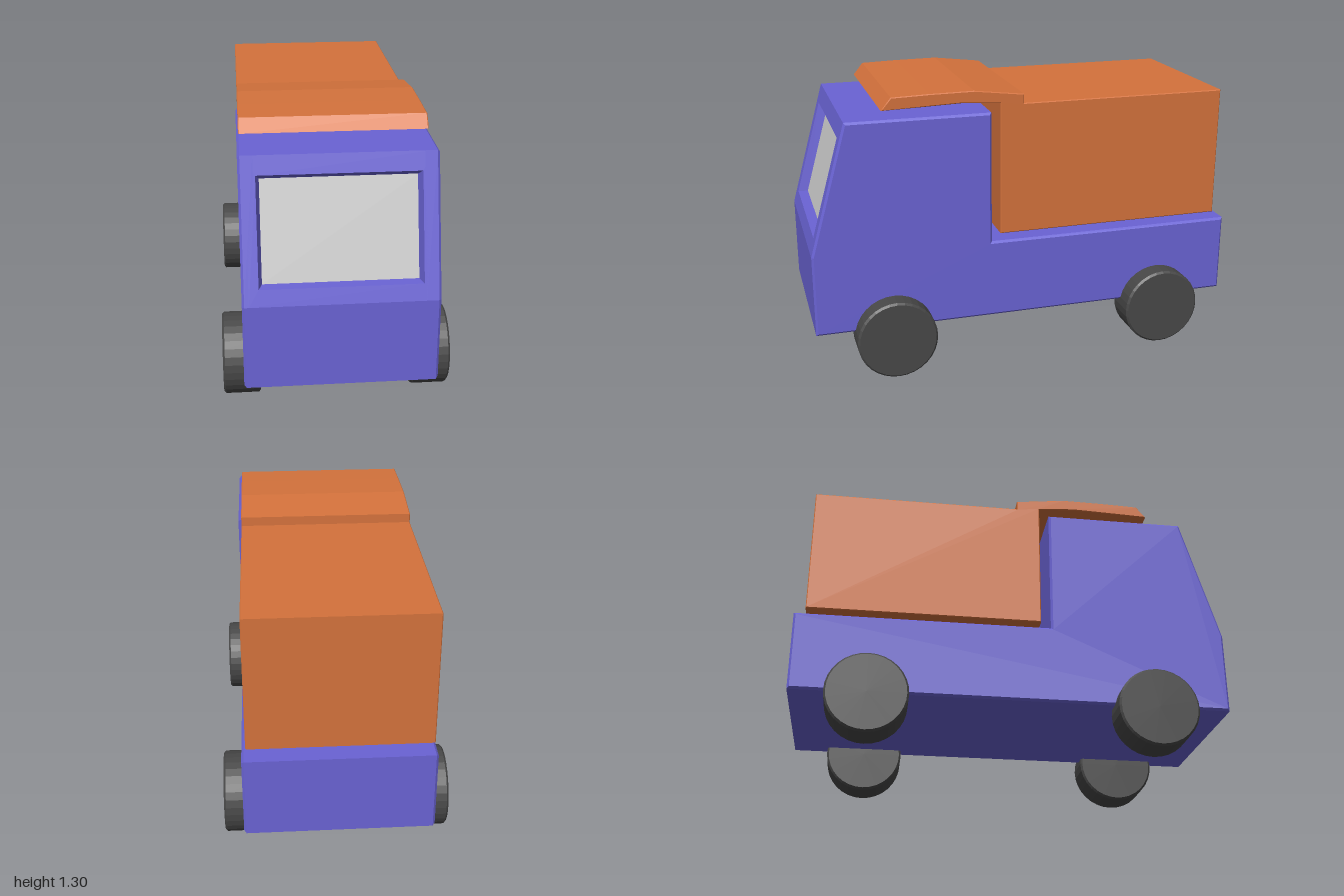
import * as THREE from 'three';

const paint = (color, extra = {}) => new THREE.MeshStandardMaterial({ color, flatShading: true, ...extra });

// Side profile of [z, y] points, extruded across x between x0 and x1
function extrudeAcross(profile, x0, x1, bevel = 0) {
  const shape = new THREE.Shape(profile.map(([z, y]) => new THREE.Vector2(z, y)));
  const geo = new THREE.ExtrudeGeometry(shape, {
    depth: x1 - x0 - 2 * bevel,
    bevelEnabled: bevel > 0,
    bevelSize: bevel,
    bevelThickness: bevel,
    bevelOffset: -bevel,
    bevelSegments: 1,
  });
  geo.rotateY(-Math.PI / 2);
  geo.translate(x1 - bevel, 0, 0);
  return geo;
}

const rect = (path, x, y0, y1) => path.moveTo(-x, y0).lineTo(x, y0).lineTo(x, y1).lineTo(-x, y1).closePath();

export function createModel() {
  const model = new THREE.Group();
  model.name = 'truck';
  const blue = paint(0x6a63d4);
  const orange = paint(0xd4723c);
  const dark = paint(0x484848);
  const grey = paint(0xcccccc);

  const add = (parent, name, geo, mat) => {
    const mesh = new THREE.Mesh(geo, mat);
    mesh.name = name;
    parent.add(mesh);
    return mesh;
  };

  // Windscreen slope, from its base at (z 1, y 0.6) to the roof edge
  const rise = 0.6, run = 0.17, depth = 0.045;
  const tilt = Math.atan2(run, rise);
  const slope = Math.hypot(rise, run);
  const dz = depth * Math.cos(tilt), dy = depth * Math.sin(tilt);
  const base = [1, 0.6], roof = [1 - run, 0.6 + rise];
  const rear = [[0.175, 1.2], [0.175, 0.59], [-1, 0.59], [-1, 0.22]];

  // Body: two bevelled sides and a core set back behind the windscreen frame
  const body = new THREE.Group();
  body.name = 'body';
  model.add(body);
  const outline = [[1, 0.22], base, roof, ...rear];
  add(body, 'leftSide', extrudeAcross(outline, 0.342, 0.414, 0.01), blue);
  add(body, 'rightSide', extrudeAcross(outline, -0.414, -0.342, 0.01), blue);
  const core = [[1, 0.22], base, [1 - dz, 0.6 - dy], [roof[0] - dz, roof[1] - dy], roof, ...rear];
  add(body, 'core', extrudeAcross(core, -0.385, 0.385), blue);

  // Windscreen: frame with an opening, tapered reveal and recessed pane
  const windscreen = new THREE.Group();
  windscreen.name = 'windscreen';
  windscreen.position.set(0, 0.6, 1);
  windscreen.rotation.x = -tilt;
  model.add(windscreen);
  const x = 0.343, low = 0.073, high = 0.541, taper = 0.015;
  const frame = rect(new THREE.Shape(), 0.385, 0, slope);
  frame.holes.push(rect(new THREE.Path(), x, low, high));
  const frameGeo = new THREE.ExtrudeGeometry(frame, { depth, bevelEnabled: false });
  frameGeo.translate(0, 0, -depth);
  add(windscreen, 'frame', frameGeo, blue);

  const corners = [];
  for (const [inset, z] of [[0, 0], [taper, -depth + 0.001]]) {
    const a = x - inset, b = low + inset, c = high - inset;
    corners.push(-a, b, z, a, b, z, a, c, z, -a, c, z);
  }
  const faces = [];
  for (let i = 0; i < 4; i++) {
    const j = (i + 1) % 4;
    faces.push(i, j, j + 4, i, j + 4, i + 4);
  }
  const reveal = new THREE.BufferGeometry();
  reveal.setAttribute('position', new THREE.Float32BufferAttribute(corners, 3));
  reveal.setIndex(faces);
  const revealGeo = reveal.toNonIndexed();
  revealGeo.computeVertexNormals();
  add(windscreen, 'reveal', revealGeo, paint(0x6a63d4, { side: THREE.DoubleSide }));

  const pane = add(windscreen, 'pane', new THREE.PlaneGeometry(2 * (x - taper), high - low - 2 * taper), grey);
  pane.position.set(0, (low + high) / 2, -depth + 0.002);

  // Cargo box floating just above the bed, with a deflector over the cab
  const cargo = [
    [-0.95, 0.62], [0.13, 0.62], [0.13, 1.236], [0.3, 1.248], [0.45, 1.243], [0.665, 1.237],
    [0.62, 1.293], [0.45, 1.298], [0.25, 1.3], [0.02, 1.272], [0.02, 1.23], [-0.95, 1.23],
  ];
  add(model, 'cargoBox', extrudeAcross(cargo, -0.406, 0.396, 0.004), orange);

  // Wheels with a small chamfer on both rims
  const r = 0.184, half = 0.0825, chamfer = 0.009;
  const wheelGeo = new THREE.LatheGeometry([
    [0, -half], [r - chamfer, -half], [r, -half + chamfer],
    [r, half - chamfer], [r - chamfer, half], [0, half],
  ].map(([a, b]) => new THREE.Vector2(a, b)), 32);
  wheelGeo.rotateZ(Math.PI / 2);
  for (const [side, sx, y] of [['left', 1, 0.194], ['right', -1, 0.187]]) {
    for (const [end, z] of [['Front', 0.642], ['Rear', -0.654]]) {
      add(model, `${side}${end}Wheel`, wheelGeo, dark).position.set(sx * 0.422, y, z);
    }
  }
  return model;
}
